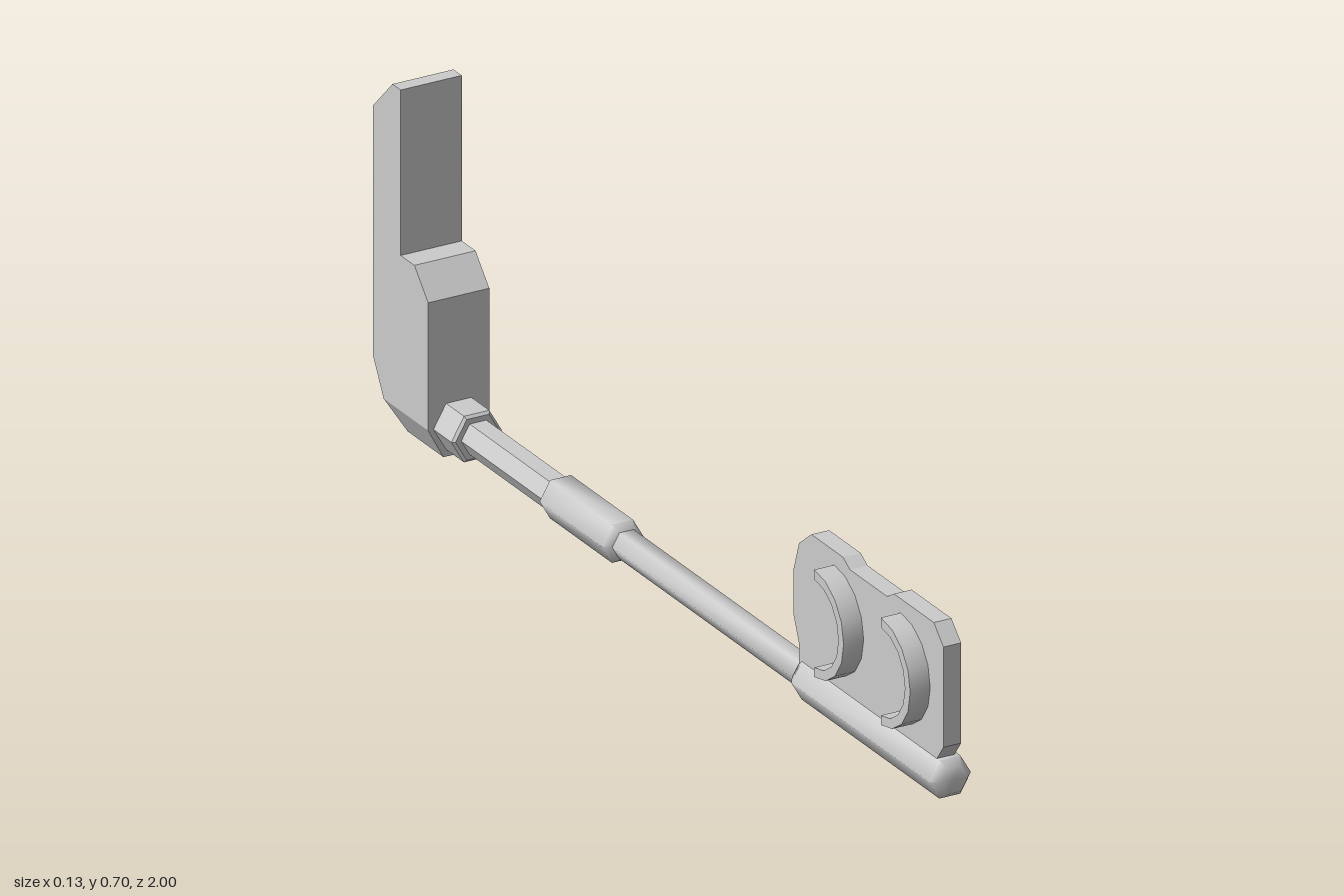
import * as THREE from 'three';
import { toCreasedNormals } from 'three/addons/utils/BufferGeometryUtils.js';

const grey = new THREE.MeshStandardMaterial({ color: 0xcccccc });
const AXIS_Y = 0.06;

function part(name, geometry, crease) {
  const mesh = new THREE.Mesh(toCreasedNormals(geometry, crease), grey);
  mesh.name = name;
  return mesh;
}

// Outline given as [z, y], extruded across the model from x0 to x1
function slab(name, outline, x0, x1, crease = 0.3) {
  const shape = new THREE.Shape(outline.map(([z, y]) => new THREE.Vector2(z, y)));
  const geo = new THREE.ExtrudeGeometry(shape, { depth: x1 - x0, bevelEnabled: false });
  geo.rotateY(-Math.PI / 2).translate(x1, 0, 0);
  return part(name, geo, crease);
}

// Six-sided turned section along z, profile given as [radius, z] from back to front
function hexRod(name, profile, crease = 1.1) {
  const pts = [[0, profile[0][1]], ...profile, [0, profile[profile.length - 1][1]]];
  const geo = new THREE.LatheGeometry(pts.map(([r, z]) => new THREE.Vector2(r, z)), 6, Math.PI / 2);
  geo.rotateX(Math.PI / 2).translate(0, AXIS_Y, 0);
  return part(name, geo, crease);
}

// Box whose corners are moved by a rule
function shapedBox(name, rule) {
  const geo = new THREE.BoxGeometry(2, 2, 2);
  const p = geo.attributes.position;
  for (let i = 0; i < p.count; i++) p.setXYZ(i, ...rule(p.getX(i), p.getY(i), p.getZ(i)));
  return part(name, geo, 0.1);
}

export function createModel() {
  const group = new THREE.Group();

  // Shaft, from the front sleeve back to the collar
  group.add(
    hexRod('frontSleeve', [[0.035, 0.47], [0.044, 0.485], [0.044, 0.985], [0.03, 1.0]]),
    hexRod('shaft', [[0.03, -0.21], [0.03, 0.48]]),
    hexRod('grip', [[0.044, -0.43], [0.044, -0.205], [0.034, -0.19]]),
    hexRod('rearShaft', [[0.035, -0.74], [0.035, -0.42]], 0.3),
    hexRod('collar', [[0.053, -0.81], [0.053, -0.735], [0.047, -0.73]], 0.3),
  );

  // Rear block with its tall back plate
  const stock = new THREE.Group();
  stock.name = 'rearBlock';
  stock.add(
    slab('rearBlockBody', [
      [-0.8, 0.06], [-0.8, 0.315], [-0.85, 0.37], [-0.9, 0.37], [-0.9, 0.7],
      [-0.93, 0.7], [-1, 0.63], [-1, 0.13], [-0.962, 0.06],
    ], -0.064, 0.064),
    // Narrowing foot under the block
    shapedBox('rearBlockFoot', (x, y, z) => [
      x * (y > 0 ? 0.064 : 0.032),
      y > 0 ? 0.06 : 0,
      z > 0 ? -0.8 : (y > 0 ? -0.962 : -0.93),
    ]),
  );
  group.add(stock);

  // Upright plate standing on the front sleeve
  group.add(slab('frontPlate', [
    [0.97, 0.09], [1, 0.13], [1, 0.33], [0.965, 0.365], [0.82, 0.365], [0.795, 0.35],
    [0.66, 0.35], [0.635, 0.365], [0.52, 0.365], [0.475, 0.33], [0.455, 0.27],
    [0.455, 0.18], [0.475, 0.13], [0.475, 0.09],
  ], -0.022, 0.015));

  // Raised panel with sloping borders on one face
  group.add(shapedBox('raisedPanel', (x, y, z) => [
    x > 0 ? 0.028 : 0.01,
    0.215 + y * (x > 0 ? 0.078 : 0.1),
    0.72 + z * (x > 0 ? 0.097 : 0.125),
  ]));

  // Two half-ring hooks on the other face
  for (const [i, z] of [0.603, 0.845].entries()) {
    const steps = 8, outline = [];
    for (const r of [0.107, 0.088]) {
      for (let k = 0; k <= steps; k++) {
        const a = (k / steps - 0.5) * Math.PI * (r > 0.1 ? 1 : -1);
        outline.push([z + r * Math.cos(a), 0.23 + r * Math.sin(a)]);
      }
    }
    group.add(slab('hook' + (i + 1), outline, -0.064, -0.02, 0.6));
  }
  return group;
}
